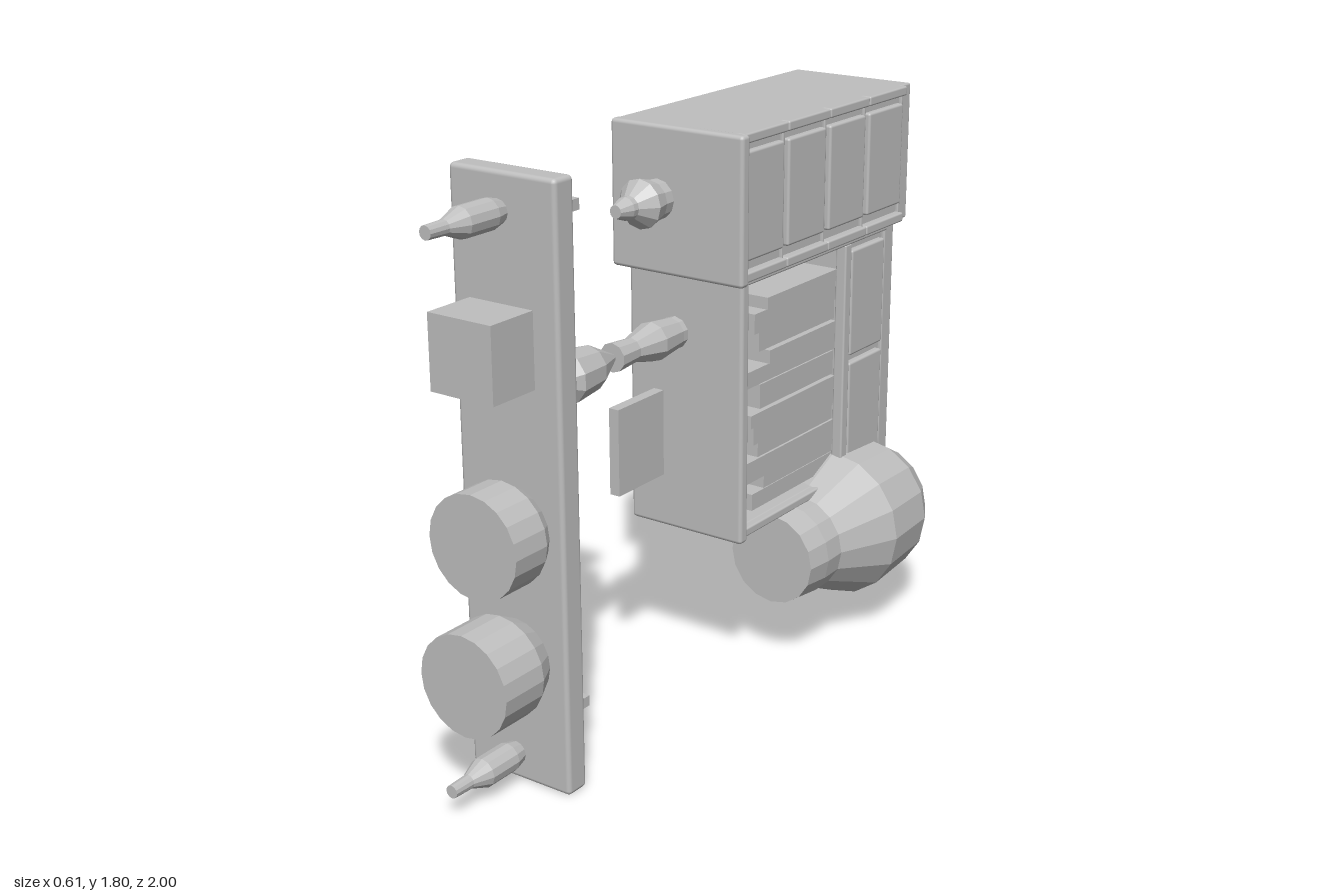
import * as THREE from 'three';
import { RoundedBoxGeometry } from 'three/addons/geometries/RoundedBoxGeometry.js';

export function createModel() {
  const model = new THREE.Group();
  const grey = new THREE.MeshStandardMaterial({ color: 0xbfbfbf });
  grey.name = 'plain grey';

  const add = (name, geometry, x, y, z) => {
    const mesh = new THREE.Mesh(geometry, grey);
    mesh.name = name;
    mesh.position.set(x, y, z);
    model.add(mesh);
  };

  // Box given by its limits; r > 0 rounds the edges
  const box = (name, x0, x1, y0, y1, z0, z1, r = 0) => {
    const w = x1 - x0, h = y1 - y0, d = z1 - z0;
    const g = r ? new RoundedBoxGeometry(w, h, d, 2, r) : new THREE.BoxGeometry(w, h, d);
    add(name, g, (x0 + x1) / 2, (y0 + y1) / 2, (z0 + z1) / 2);
  };

  // Faceted turned part along z; profile of [z, radius], back to front
  const turned = (name, x, y, profile, sides) => {
    const pts = [[profile[0][0], 0], ...profile, [profile[profile.length - 1][0], 0]];
    const g = new THREE.LatheGeometry(pts.map(([z, r]) => new THREE.Vector2(r, z)), sides)
      .rotateX(Math.PI / 2).toNonIndexed();
    g.computeVertexNormals();
    add(name, g, x, y, 0);
  };

  // Free-standing front panel with its fittings
  box('frontPanel', -0.31, 0.055, 0, 1.8, 0.64, 0.72, 0.014);
  for (const y of [0.085, 1.69]) {
    turned('panelPin', -0.14, y, [[0.71, 0.032], [0.76, 0.045], [0.87, 0.045], [0.93, 0.022], [1, 0.02]], 12);
  }
  for (const y of [0.13, 1.645]) box('rearTab', -0.31, -0.09, y, y + 0.033, 0.44, 0.65);
  box('panelBlock', -0.25, -0.03, 1.215, 1.437, 0.71, 0.89);
  turned('upperDrum', -0.125, 0.79, [[0.71, 0.125], [0.76, 0.156], [0.89, 0.156]], 20);
  turned('lowerDrum', -0.125, 0.395, [[0.71, 0.115], [0.79, 0.156], [0.95, 0.156]], 20);

  // Upper cabinet: body, slabs, front plate
  box('upperBody', -0.307, 0.113, 1.385, 1.775, -0.998, -0.01);
  box('upperTopSlab', -0.31, 0.115, 1.77, 1.8, -1, -0.01, 0.006);
  box('upperBottomSlab', -0.31, 0.115, 1.36, 1.39, -1, -0.01, 0.006);
  box('upperFrontPlate', -0.31, 0.16, 1.358, 1.803, -0.025, 0.015, 0.012);

  // Upper cabinet: four framed doors
  for (let i = 0; i < 4; i++) {
    const z = -0.027 - i * 0.23;
    box('upperDoor', 0.1, 0.132, 1.42, 1.745, z - 0.219, z - 0.013, 0.008);
    box('upperTopRail', 0.1, 0.14, 1.77, 1.8, z - 0.228, z, 0.006);
    box('upperBottomRail', 0.1, 0.14, 1.36, 1.39, z - 0.228, z, 0.006);
    box('upperStile', 0.1, 0.122, 1.385, 1.775, z - 0.235, z - 0.223, 0.004);
  }
  box('upperRearPost', 0.1, 0.12, 1.36, 1.8, -1, -0.942, 0.006);
  turned('upperKnob', -0.14, 1.585, [[0.01, 0.06], [0.05, 0.062], [0.1, 0.075], [0.15, 0.035], [0.17, 0.035], [0.215, 0.02]], 12);

  // Lower cabinet: back wall, rear compartment, slabs and front plate around an open bay
  box('lowerBackWall', -0.307, -0.1, 0.54, 1.335, -0.998, -0.1);
  box('rearCompartment', -0.11, 0.063, 0.54, 1.335, -0.998, -0.685);
  box('lowerTopSlab', -0.31, 0.066, 1.325, 1.357, -1, -0.1, 0.006);
  box('lowerBottomSlab', -0.31, 0.066, 0.52, 0.55, -1, -0.1, 0.006);
  box('lowerFrontPlate', -0.31, 0.105, 0.515, 1.355, -0.11, -0.07, 0.012);

  // Lower cabinet: face frame and doors
  box('lowerTopRail', 0.05, 0.088, 1.325, 1.355, -0.94, -0.11, 0.006);
  box('lowerBottomRail', 0.05, 0.088, 0.52, 0.548, -0.94, -0.11, 0.006);
  box('bayPost', 0.05, 0.088, 0.545, 1.328, -0.717, -0.68, 0.006);
  box('lowerRearPost', 0.05, 0.075, 0.52, 1.355, -1, -0.942, 0.006);
  for (const [y0, y1] of [[0.57, 0.922], [0.947, 1.3]]) {
    box('lowerDoor', 0.05, 0.084, y0, y1, -0.93, -0.727, 0.008);
  }

  // Stacked boards of uneven length in the bay: [bottom, top, front z]
  const boards = [
    [0.566, 0.62, -0.22], [0.625, 0.668, -0.28], [0.668, 0.737, -0.18], [0.737, 0.785, -0.25],
    [0.785, 0.845, -0.22], [0.845, 0.887, -0.2], [0.893, 0.972, -0.26], [0.978, 1.03, -0.17],
    [1.03, 1.073, -0.3], [1.08, 1.143, -0.25], [1.143, 1.207, -0.22], [1.207, 1.245, -0.285],
  ];
  boards.forEach(([y0, y1, z], i) => box('board', -0.11, 0.045 + (i % 3) * 0.004, y0, y1, -0.69, z));

  // Fittings on the lower front plate
  turned('spindleStem', -0.14, 1.157, [[-0.08, 0.05], [-0.05, 0.05], [0.05, 0.062], [0.15, 0.038], [0.24, 0.045]], 10);
  turned('spindleTip', -0.14, 1.157, [[0.235, 0.01], [0.35, 0.068], [0.46, 0.08], [0.53, 0.02]], 10);
  box('frontFin', -0.22, -0.185, 0.685, 0.962, -0.08, 0.157);

  // Large round vessel lying under the lower cabinet
  turned('vessel', 0.055, 0.37, [[-1, 0.18], [-0.9, 0.235], [-0.69, 0.248], [-0.49, 0.158], [-0.41, 0.16], [-0.32, 0.15]], 16);

  return model;
}
